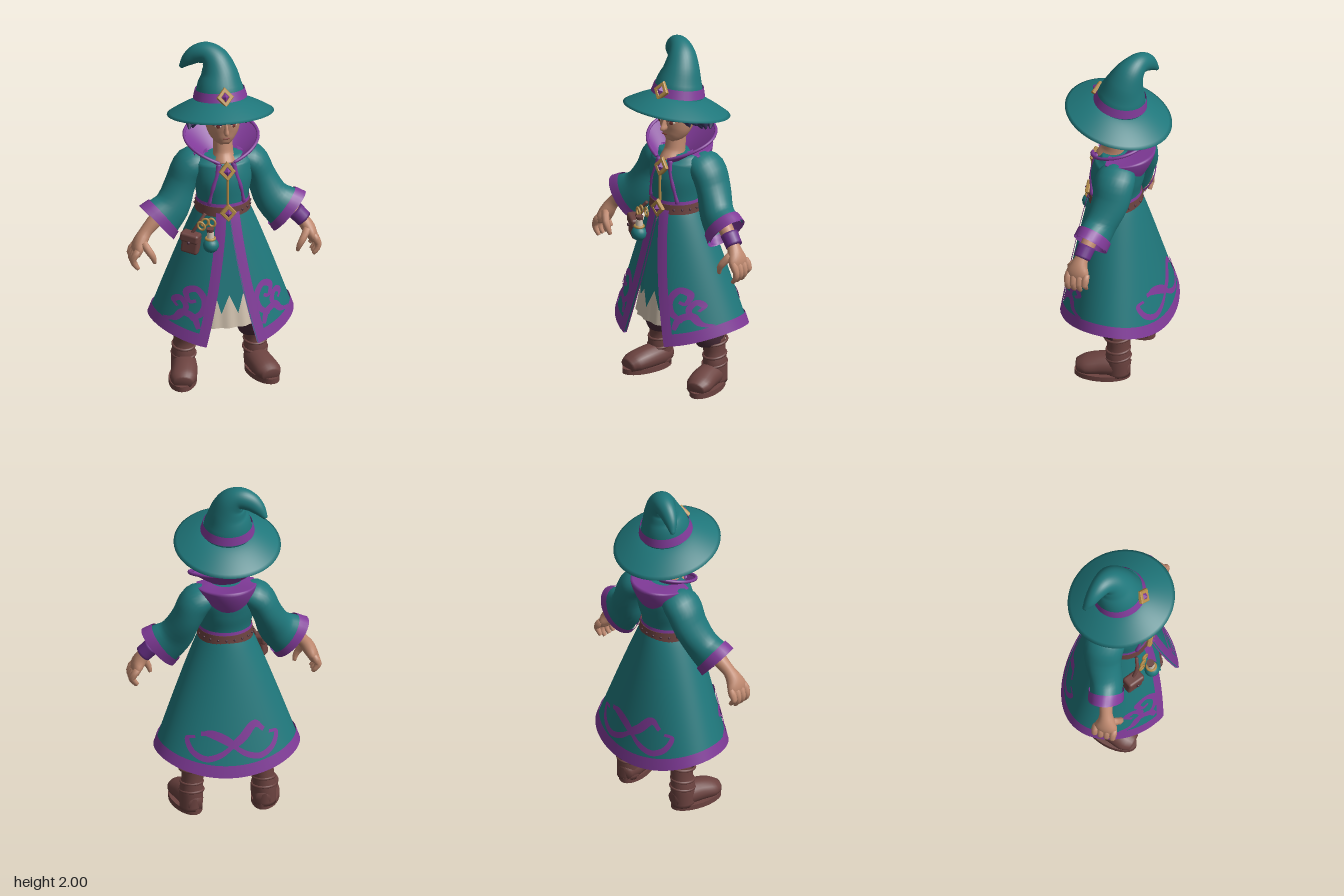
import * as THREE from 'three';
import { RoundedBoxGeometry } from 'three/addons/geometries/RoundedBoxGeometry.js';

const { sin, cos, PI, min, max, abs, sqrt } = Math;
const mix = (a, b, t) => a + (b - a) * t;

export function createModel() {
  const root = new THREE.Group();
  const mat = (name, color, side = THREE.FrontSide) => Object.assign(new THREE.MeshStandardMaterial({ color, side }), { name });
  const teal = mat('teal cloth', 0x1f777b, THREE.DoubleSide), purple = mat('purple trim', 0x803a98, THREE.DoubleSide);
  const cream = mat('cream linen', 0xd2c3b0, THREE.DoubleSide), skin = mat('skin', 0xc08a70);
  const hair = mat('indigo hair', 0x37335c), brown = mat('brown leather', 0x6c4340), plum = mat('plum trousers', 0x4a2d3a);
  const gold = mat('gold', 0xb58c48), violet = mat('deep violet', 0x6a3088), rust = mat('rust eyes', 0x7a3530);

  const add = (name, geo, m, p = [0, 0, 0], r = [0, 0, 0], s = [1, 1, 1], parent = root) => {
    const mesh = new THREE.Mesh(geo, m);
    mesh.name = name;
    mesh.position.set(...p); mesh.rotation.set(...r); mesh.scale.set(...s);
    parent.add(mesh);
  };
  // grid surface from a point rule; wrap closes it around u
  const grid = (fn, nu, nv, wrap = false) => {
    const pos = [], idx = [], w = wrap ? nu : nu + 1;
    for (let j = 0; j <= nv; j++) for (let i = 0; i < w; i++) pos.push(...fn(i / nu, j / nv, j));
    for (let j = 0; j < nv; j++) for (let i = 0; i < nu; i++) {
      const a = j * w + i, b = j * w + (i + 1) % w;
      idx.push(a, b, b + w, a, b + w, a + w);
    }
    const g = new THREE.BufferGeometry();
    g.setAttribute('position', new THREE.Float32BufferAttribute(pos, 3));
    g.setIndex(idx);
    g.computeVertexNormals();
    return g;
  };
  // elliptical tube through rows of [x, y, z, rx, rz]
  const sweep = (rows, { cap = true, n = 16, sides = 20, ref = [0, 0, 1], sx = 1 } = {}) => {
    const path = new THREE.CatmullRomCurve3(rows.map(r => new THREE.Vector3(r[0] * sx, r[1], r[2])));
    const radii = new THREE.CatmullRomCurve3(rows.map(r => new THREE.Vector3(r[3], r[4] ?? r[3], 0)));
    const up = new THREE.Vector3(...ref), total = cap ? n + 2 : n;
    return grid((u, v, j) => {
      const t = cap ? min(max(j - 1, 0), n) / n : j / n;
      const k = cap && (j === 0 || j === total) ? 0 : 1;
      const c = path.getPoint(t), d = path.getTangent(t), r = radii.getPoint(t);
      const a = up.clone().cross(d).normalize(), b = d.clone().cross(a);
      c.addScaledVector(a, k * max(r.x, 0.001) * cos(u * 2 * PI)).addScaledVector(b, k * max(r.y, 0.001) * sin(u * 2 * PI));
      return [c.x, c.y, c.z];
    }, sides, total, true);
  };
  const ball = new THREE.SphereGeometry(1, 20, 14);

  // Robe skirt: angle a from the front, v from waist to hem
  const hemY = a => 0.31 + 0.085 * sin(a) ** 2;
  const robeR = v => mix(0.14, 0.397, v ** 0.92);
  const robe = (a, v, off = 0) => {
    const rx = robeR(v) + off, rz = mix(0.145, 0.306, v ** 0.92) + off;
    return [rx * sin(a), mix(1.07, hemY(a), v), rz * cos(a) + 0.015 * (1 - v) - 0.04 * v * sin(a) ** 2];
  };
  const edge = v => 0.06 + 0.31 * v;
  const around = (u, v) => mix(edge(v), 2 * PI - edge(v), u);
  add('robe skirt', grid((u, v) => robe(around(u, v), v), 96, 24), teal);
  for (const [off, top] of [[0.008, 0.91], [-0.008, 0.975]])
    add('robe hem trim', grid((u, v) => robe(around(u, mix(top, 1, v)), mix(top, 1, v), off), 96, 3), purple);
  add('robe hem edge', grid((u, v) => robe(around(u, 1), 1, mix(-0.008, 0.008, v)), 96, 1), purple);
  // painted scrolls: points are [x, y] seen flat on
  const onRobe = (x, y, back) => {
    let a = back ? PI : 0, v = 0.5;
    for (let k = 0; k < 8; k++) {
      v = (1.07 - y) / (1.07 - hemY(a));
      const b = Math.asin(max(-0.99, min(0.99, x / robeR(v))));
      a = back ? PI - b : b;
    }
    return robe(a, v, 0.008);
  };
  const scroll = (pts, width, s, back = false) => {
    const c = new THREE.CatmullRomCurve3(pts.map(p => new THREE.Vector3(p[0] * s, p[1], 0)));
    add('robe scroll', grid((u, v) => {
      const p = c.getPoint(v), d = c.getTangent(v), w = (u - 0.5) * width * (0.25 + 0.75 * sin(PI * min(0.95, v + 0.1)) ** 0.6);
      return onRobe(p.x - d.y * w, p.y + d.x * w, back);
    }, 2, 30), purple);
  };
  for (const s of [1, -1]) {
    for (const [off, width] of [[0.009, 0.055], [-0.009, 0.02]])
      add('robe front trim', grid((u, v) => robe(s * (edge(v) + u * width / robeR(v)), v, off), 3, 24), purple);
    scroll([[0.18, 0.42], [0.2, 0.48], [0.25, 0.5], [0.29, 0.46], [0.34, 0.44]], 0.038, s);
    scroll([[0.22, 0.47], [0.16, 0.51], [0.14, 0.58], [0.18, 0.64], [0.23, 0.615], [0.215, 0.565], [0.185, 0.575]], 0.036, s);
    scroll([[0.25, 0.49], [0.235, 0.54], [0.26, 0.575], [0.29, 0.55], [0.275, 0.525]], 0.03, s);
    scroll([[0, 0.49], [0.07, 0.44], [0.15, 0.42], [0.22, 0.46], [0.24, 0.53], [0.2, 0.54]], 0.034, s, true);
    scroll([[0.02, 0.48], [-0.05, 0.53], [-0.12, 0.58 + 0.02 * s], [-0.17, 0.56]], 0.05, s, true);
  }

  // Under skirt and pointed front panels
  add('under skirt', grid((u, v) => {
    const a = u * 2 * PI, f = 1 + 0.025 * v * cos(a * 18);
    return [mix(0.12, 0.26, v) * f * sin(a), mix(1.05, 0.38, v), mix(0.12, 0.19, v) * f * cos(a)];
  }, 108, 10, true), cream);
  for (const s of [1, -1]) for (const k of [0, 1])
    add('front panel', grid((u, v) => {
      const w = 0.09 * min(0.5 + v, 1, (1 - v) * 4.5);
      return [s * ((0.047 + 0.065 * k) * v + (u - 0.5) * w), mix(1.04, 0.48 + 0.05 * k, v), mix(0.135, 0.215, v) - 0.008 * k - 0.02 * k * v];
    }, 4, 24), teal);

  // Jacket
  add('jacket', sweep([[0, 1.05, 0.015, 0.135, 0.13], [0, 1.13, 0.015, 0.145, 0.135], [0, 1.23, 0.005, 0.165, 0.147],
    [0, 1.32, -0.015, 0.172, 0.14], [0, 1.375, -0.015, 0.13, 0.095]], { sides: 32 }), teal);
  add('jacket hem', new THREE.CylinderGeometry(0.147, 0.15, 0.02, 40, 1, true), purple, [0, 1.108, 0.015], [0, 0, 0], [1, 1, 0.95]);
  add('belt', new THREE.CylinderGeometry(0.15, 0.155, 0.055, 40), brown, [0, 1.072, 0.015], [0, 0, 0], [1, 1, 0.97]);
  for (let i = 0; i < 14; i++) {
    const a = 0.6 + i * 0.305;
    add('belt stud', ball, plum, [0.153 * sin(a), 1.072, 0.015 + 0.148 * cos(a)], [0, 0, 0], [0.007, 0.007, 0.007]);
  }
  add('gold placket', new THREE.CylinderGeometry(0.008, 0.008, 0.2, 8), gold, [0, 1.19, 0.155]);

  // Collar and hanging hood
  const collar = (a, v) => {
    const s = (1 - cos(a)) / 2;
    return [mix(0.08, 0.205, v) * sin(a), mix(1.33 + 0.05 * s, 1.345 + 0.165 * sin(a / 2), v), mix(0.085 * cos(a) + 0.035, -0.025 + 0.165 * cos(a), v)];
  };
  add('collar', grid((u, v) => collar(mix(0.2, 2 * PI - 0.2, u), v), 48, 8), purple);
  add('collar rim', sweep(Array.from({ length: 25 }, (_, i) => [...collar(mix(0.2, 2 * PI - 0.2, i / 24), 1), 0.009]),
    { n: 60, sides: 8, ref: [0, 1, 0] }), purple);
  // ledge from the collar base, then a pointed fall down the back
  add('hood', grid((u, v) => {
    const a = mix(0.4 * PI, 1.6 * PI, u), b = max(0, -cos(a)), p = b ** 2.2;
    const out = min(1, v * 2), fall = max(0, v * 2 - 1);
    const r = mix(0.085, 0.165, out ** 0.8);
    return [r * sin(a), mix(1.385, 1.375 + 0.03 * b, out) - fall * (0.015 + 0.135 * p),
      mix(0, -0.03, out) + r * cos(a) - 0.012 * b * out + 0.06 * p * fall ** 1.5];
  }, 36, 14), purple);

  // Diamond clasp
  const frame = new THREE.Shape([[0, 1], [-0.85, 0], [0, -1], [0.85, 0]].map(p => new THREE.Vector2(...p)));
  frame.holes.push(new THREE.Path([[0, 0.6], [0.5, 0], [0, -0.6], [-0.5, 0]].map(p => new THREE.Vector2(...p))));
  const frameGeo = new THREE.ExtrudeGeometry(frame, { depth: 0.3, bevelSize: 0.08, bevelThickness: 0.1, bevelSegments: 1 });
  const clasp = (name, p, size, tilt) => {
    const g = new THREE.Group();
    g.name = name;
    add('clasp frame', frameGeo, gold, [0, 0, 0], [0, 0, 0], [1, 1, 1], g);
    add('clasp gem', new THREE.OctahedronGeometry(0.7), purple, [0, 0, 0.2], [0, 0, 0], [0.85, 1, 0.7], g);
    g.position.set(...p); g.rotation.x = tilt; g.scale.setScalar(size);
    root.add(g);
  };
  clasp('collar clasp', [0, 1.31, 0.135], 0.05, -0.25);
  clasp('belt buckle', [0, 1.075, 0.165], 0.048, 0);
  clasp('hat jewel', [-0.01, 1.755, 0.125], 0.051, -0.5);

  for (const s of [1, -1]) {
    const o = { sx: s };
    add('lapel trim', sweep([[0.04, 1.35, 0.115, 0.014], [0.055, 1.28, 0.127, 0.013], [0.08, 1.2, 0.132, 0.012], [0.097, 1.11, 0.12, 0.012]], { ...o, sides: 8 }), purple);
    // Arm
    add('sleeve', sweep([[0.08, 1.325, -0.035, 0.055, 0.085], [0.17, 1.29, -0.042, 0.088, 0.112], [0.223, 1.19, -0.037, 0.083, 0.105],
      [0.282, 1.065, 0, 0.102, 0.09], [0.365, 0.99, 0.025, 0.13, 0.088]], { ...o, cap: false, sides: 28 }), teal);
    for (const k of [0.008, -0.008])
      add('cuff', sweep([[0.331, 1.016, 0.016, 0.119 + k, 0.089 + k], [0.352, 1, 0.021, 0.126 + k, 0.089 + k], [0.373, 0.982, 0.026, 0.133 + k, 0.089 + k]], { ...o, cap: false, n: 4, sides: 28 }), purple);
    add('forearm', sweep([[0.29, 1.08, 0.01, 0.045], [0.38, 1.0, 0.03, 0.042], [0.435, 0.945, 0.045, 0.035], [0.465, 0.9, 0.055, 0.038, 0.048],
      [0.485, 0.86, 0.058, 0.034, 0.065], [0.495, 0.825, 0.058, 0.024, 0.06]], o), skin);
    for (let k = 0; k < 4; k++) {
      const z = 0.004 + 0.034 * k, d = k === 0 ? 0.02 : 0;
      add('finger', sweep([[0.49, 0.86, z, 0.018], [0.518, 0.81, z, 0.018], [0.513, 0.778 + d, z, 0.016], [0.49, 0.748 + d, z, 0.011]], { ...o, n: 6, sides: 8 }), skin);
    }
    add('thumb', sweep([[0.46, 0.895, 0.09, 0.022], [0.43, 0.85, 0.118, 0.021], [0.41, 0.815, 0.122, 0.017], [0.4, 0.78, 0.115, 0.01]], { ...o, n: 6, sides: 8 }), skin);
    // Leg and boot
    add('trouser leg', sweep([[0.13, 0.7, -0.03, 0.08, 0.09], [0.16, 0.45, -0.045, 0.09, 0.1], [0.172, 0.32, -0.05, 0.09, 0.1], [0.18, 0.25, -0.06, 0.074, 0.078]], o), plum);
    add('boot shaft', sweep([[0.19, 0.275, -0.068, 0.066, 0.072], [0.197, 0.2, -0.075, 0.06, 0.064], [0.203, 0.12, -0.073, 0.066, 0.07], [0.205, 0.02, -0.073, 0.064, 0.068]], o), brown);
    for (const [y, r] of [[0.262, 0.066], [0.18, 0.06], [0.13, 0.064]])
      add('boot strap', new THREE.TorusGeometry(r, 0.008, 8, 24), brown, [0.2 * s, y, -0.073], [PI / 2 + 0.15, 0, 0], [1, 1.07, 1]);
    add('boot foot', sweep([[0.188, 0.06, -0.135, 0.04, 0.045], [0.2, 0.07, -0.06, 0.068, 0.068], [0.217, 0.067, 0.03, 0.073, 0.064],
      [0.238, 0.057, 0.1, 0.073, 0.054], [0.248, 0.045, 0.147, 0.05, 0.038]], { ...o, ref: [0, 1, 0] }), brown);
    add('boot sole', new THREE.CylinderGeometry(1, 1, 0.03, 28), brown, [0.222 * s, 0.015, 0.012], [0, 0.25 * s, 0], [0.078, 1, 0.155]);
    // Face details
    add('eye white', ball, cream, [0.046 * s, 1.575, 0.108], [0, 0.45 * s, 0], [0.02, 0.01, 0.004]);
    add('iris', ball, rust, [0.044 * s, 1.575, 0.111], [0, 0.4 * s, 0], [0.012, 0.012, 0.004]);
    add('upper lash', ball, hair, [0.047 * s, 1.588, 0.109], [0, 0.45 * s, 0.12 * s], [0.026, 0.006, 0.004]);
    add('eyebrow', ball, hair, [0.047 * s, 1.607, 0.109], [0, 0.45 * s, 0.22 * s], [0.03, 0.007, 0.005]);
  }
  add('bracelet', sweep([[0.4, 0.99, 0.033, 0.05], [0.425, 0.963, 0.04, 0.048], [0.45, 0.935, 0.047, 0.047]], { n: 6 }), violet);

  // Head
  add('neck', sweep([[0, 1.33, 0.045, 0.07, 0.085], [0, 1.39, 0.03, 0.055, 0.06], [0, 1.52, 0.01, 0.052, 0.055]]), skin);
  add('head', sweep([[0, 1.447, 0.075, 0.022, 0.025], [0, 1.465, 0.06, 0.05, 0.053], [0, 1.505, 0.035, 0.082, 0.083], [0, 1.56, 0.015, 0.097, 0.105],
    [0, 1.63, 0.005, 0.1, 0.113], [0, 1.7, 0, 0.06, 0.07]], { sides: 28 }), skin);
  add('nose', sweep([[0, 1.59, 0.108, 0.008, 0.012], [0, 1.557, 0.115, 0.011, 0.024], [0, 1.538, 0.115, 0.015, 0.034], [0, 1.524, 0.112, 0.01, 0.02]], { sides: 10 }), skin);
  add('mouth', ball, rust, [0, 1.5, 0.118], [0, 0, 0], [0.02, 0.0035, 0.004]);

  // Hair: a cap with rings of chunky curved locks tucked under the brim
  add('hair cap', ball, hair, [0, 1.6, -0.035], [0, 0, 0], [0.122, 0.08, 0.11]);
  let seed = 11;
  const rnd = () => (seed = (seed * 16807) % 2147483647) / 2147483647;
  for (const [count, drop, reach] of [[17, 0, 1], [15, 0.03, 0.84]]) for (let i = 0; i < count; i++) {
    const a = (i + rnd() * 0.6) / count * 2 * PI, front = max(0, cos(a)) ** 0.6, low = 0.055 * max(0, -cos(a)), j = rnd() * 0.04;
    const tip = mix(1.515 - drop + j, 1.59 + j, front), b = a + (rnd() - 0.5) * 0.7;
    const at = (r, y, q) => [r * reach * sin(q), y, r * mix(reach, 1, front) * cos(q) * 0.92 - 0.02 * (1 - front)];
    add('hair lock', sweep([[...at(0.08, 1.66 - low, a), 0.025], [...at(0.135, 1.637 - low, a), 0.042, 0.03],
      [...at(mix(0.17, 0.142, front), mix(tip, 1.635 - low, 0.5), a), 0.035, 0.027], [...at(mix(0.192, 0.146, front), tip, b), 0.004]],
    { n: 7, sides: 7, ref: [cos(a), 0, -sin(a)] }), hair);
  }

  // Hat
  add('hat brim', grid((u, v) => {
    const a = u * 2 * PI, k = 1 - abs(2 * v - 1), r = mix(0.12, 0.295, k);
    const y = mix(1.7 + 0.03 * cos(a), 1.612 + 0.065 * cos(a), k ** 1.3) - (v > 0.5 ? 0.022 * sqrt(1 - k) + 0.01 : 0);
    return [-0.01 + r * sin(a), y, 0.005 + r * cos(a)];
  }, 64, 20, true), teal);
  add('hat cone', sweep([[-0.01, 1.68, 0, 0.142, 0.142], [-0.01, 1.76, -0.015, 0.128, 0.13], [-0.01, 1.84, -0.035, 0.1, 0.103], [-0.03, 1.905, -0.06, 0.078, 0.08],
    [-0.07, 1.935, -0.085, 0.063, 0.06], [-0.12, 1.923, -0.108, 0.054, 0.047], [-0.165, 1.885, -0.128, 0.038, 0.034], [-0.2, 1.835, -0.15, 0.012]], { n: 36, sides: 32 }), teal);
  add('hat band', new THREE.CylinderGeometry(0.137, 0.15, 0.05, 40, 1, true), purple, [-0.01, 1.727, -0.01], [-0.18, 0, 0]);

  // Belt pouch and flask
  add('pouch', new RoundedBoxGeometry(0.1, 0.11, 0.06, 3, 0.015), brown, [-0.2, 0.89, 0.13], [0, -0.6, -0.12]);
  add('pouch flap', new RoundedBoxGeometry(0.108, 0.055, 0.07, 3, 0.015), brown, [-0.203, 0.93, 0.133], [0, -0.6, -0.12]);
  add('pouch button', ball, plum, [-0.222, 0.908, 0.165], [0, 0, 0], [0.009, 0.009, 0.009]);
  add('pouch strap', sweep([[-0.12, 1.06, 0.125, 0.01], [-0.16, 1.01, 0.14, 0.01], [-0.195, 0.95, 0.13, 0.01]], { sides: 8 }), brown);
  add('flask', ball, teal, [-0.105, 0.905, 0.21], [0, 0, 0], [0.044, 0.042, 0.042]);
  add('flask neck', new THREE.CylinderGeometry(0.018, 0.022, 0.05, 14), cream, [-0.107, 0.96, 0.205]);
  add('flask collar', new THREE.TorusGeometry(0.024, 0.008, 8, 18), gold, [-0.107, 0.945, 0.206], [PI / 2, 0, 0]);
  add('flask stopper', new THREE.CylinderGeometry(0.022, 0.018, 0.022, 14), brown, [-0.108, 0.992, 0.202]);
  for (const [x, y, r] of [[-0.15, 1.005, 0.5], [-0.13, 1.025, -0.6], [-0.09, 1.02, 0.3]])
    add('belt charm', new THREE.TorusGeometry(0.018, 0.006, 8, 16), gold, [x, y, 0.165], [0, -0.4, r], [1, 1.3, 1]);
  return root;
}
